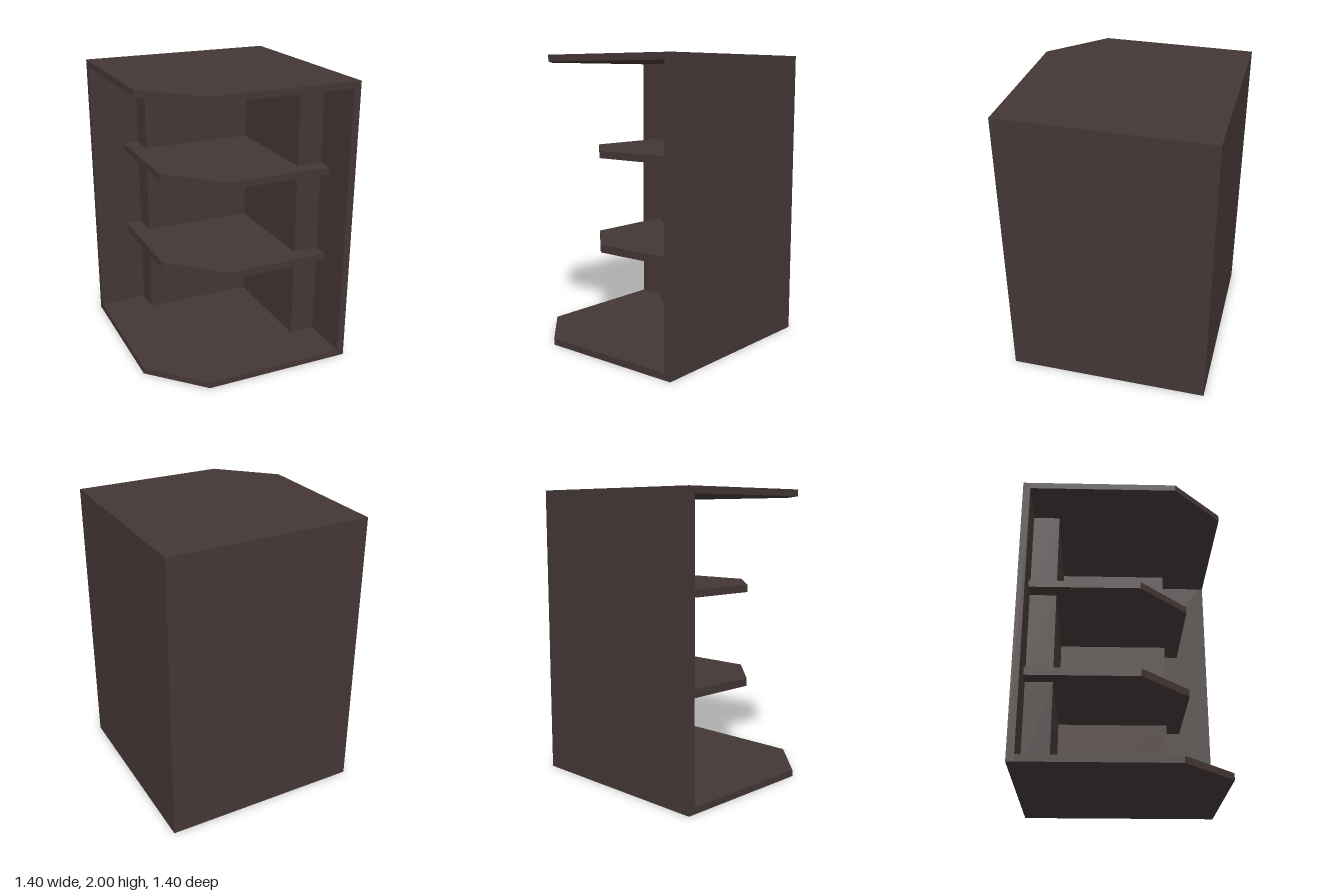
import * as THREE from 'three';

const HALF = 0.7, INNER = 0.65, T = 0.045;

export function createModel() {
  const group = new THREE.Group();
  group.name = 'cornerShelfUnit';
  const darkWood = new THREE.MeshStandardMaterial({ color: 0x443736 });
  darkWood.name = 'dark wood';

  const add = (name, geometry) => {
    const mesh = new THREE.Mesh(geometry, darkWood);
    mesh.name = name;
    group.add(mesh);
  };

  // Box given by its limits on each axis
  const box = (name, x0, x1, y0, y1, z0, z1) => {
    const g = new THREE.BoxGeometry(x1 - x0, y1 - y0, z1 - z0);
    g.translate((x0 + x1) / 2, (y0 + y1) / 2, (z0 + z1) / 2);
    add(name, g);
  };

  // Board tucked into the wall corner, with its free corner cut off;
  // reach = distance of the free sides, cut = where the cut begins
  const board = (name, reach, cut, y0, y1) => {
    const shape = new THREE.Shape([
      [INNER, INNER], [-reach, INNER], [-reach, -cut], [-cut, -reach], [INNER, -reach],
    ].map(([x, y]) => new THREE.Vector2(x, y)));
    const g = new THREE.ExtrudeGeometry(shape, { depth: y1 - y0, bevelEnabled: false });
    g.rotateX(-Math.PI / 2); // shape y becomes -z
    g.translate(0, y0, 0);
    add(name, g);
  };

  // Outer walls
  box('sidePanel', INNER, HALF, 0, 2, -HALF, HALF);
  box('backPanel', -HALF, INNER, 0, 2, -HALF, -INNER);

  // Top, base and the two smaller shelves
  board('base', HALF, 0.35, 0, T);
  board('lowerShelf', 0.465, 0.115, 0.655, 0.71);
  board('upperShelf', 0.465, 0.115, 1.31, 1.36);
  board('top', HALF, 0.35, 2 - T, 2);

  // Inner lining blocks along both walls, in each bay
  for (const [y0, y1] of [[T, 0.655], [0.71, 1.31], [1.36, 2 - T]]) {
    box('backBlock', -0.35, 0.465, y0, y1, -INNER, -0.465);
    box('sideBlock', 0.465, INNER, y0, y1, -INNER, 0.35);
  }
  return group;
}
